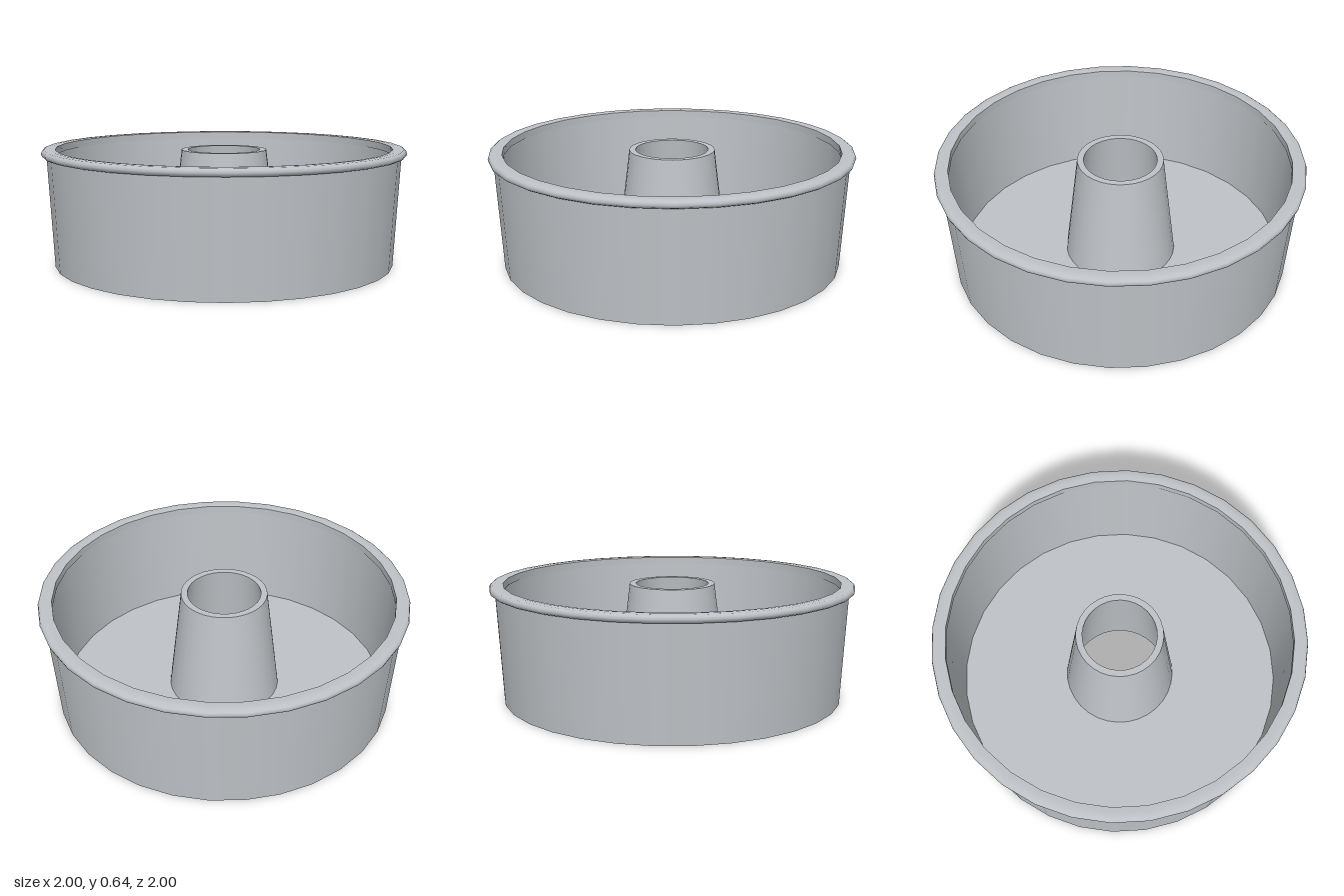
import * as THREE from 'three';
import { mergeGeometries } from 'three/addons/utils/BufferGeometryUtils.js';

const SIDES = 32;

// Each run of [radius, y] points is smooth; creases fall between runs.
function turned(name, material, runs) {
  const parts = runs.map(run =>
    new THREE.LatheGeometry(run.map(([r, y]) => new THREE.Vector2(r, y)), SIDES));
  const mesh = new THREE.Mesh(mergeGeometries(parts), material);
  mesh.name = name;
  return mesh;
}

export function createModel() {
  const metal = new THREE.MeshStandardMaterial({ color: 0xbfc3c7 });
  metal.name = 'brushed metal';
  const pan = new THREE.Group();
  pan.name = 'ringCakePan';

  // Tapered outer wall: outside going up, inside going down
  pan.add(turned('wall', metal, [
    [[0.94, 0], [0.972, 0.61]],
    [[0.93, 0.61], [0.907, 0.02]],
  ]));

  // Flat floor with the central opening: top face, then underside
  pan.add(turned('floor', metal, [
    [[0.907, 0.02], [0.308, 0.02]],
    [[0.27, 0], [0.94, 0]],
  ]));

  // Tapered hollow centre tube: outside, top lip, bore
  pan.add(turned('centreTube', metal, [
    [[0.31, 0.02], [0.235, 0.625]],
    [[0.235, 0.625], [0.2, 0.625]],
    [[0.2, 0.625], [0.27, 0]],
  ]));

  // Rolled rim: rounded outside, straight inner face, flat underside
  pan.add(turned('rim', metal, [
    [[0.985, 0.6], [0.996, 0.607], [1, 0.62], [0.996, 0.633], [0.985, 0.641], [0.955, 0.643], [0.925, 0.64]],
    [[0.925, 0.64], [0.925, 0.6]],
    [[0.925, 0.6], [0.985, 0.6]],
  ]));

  return pan;
}
